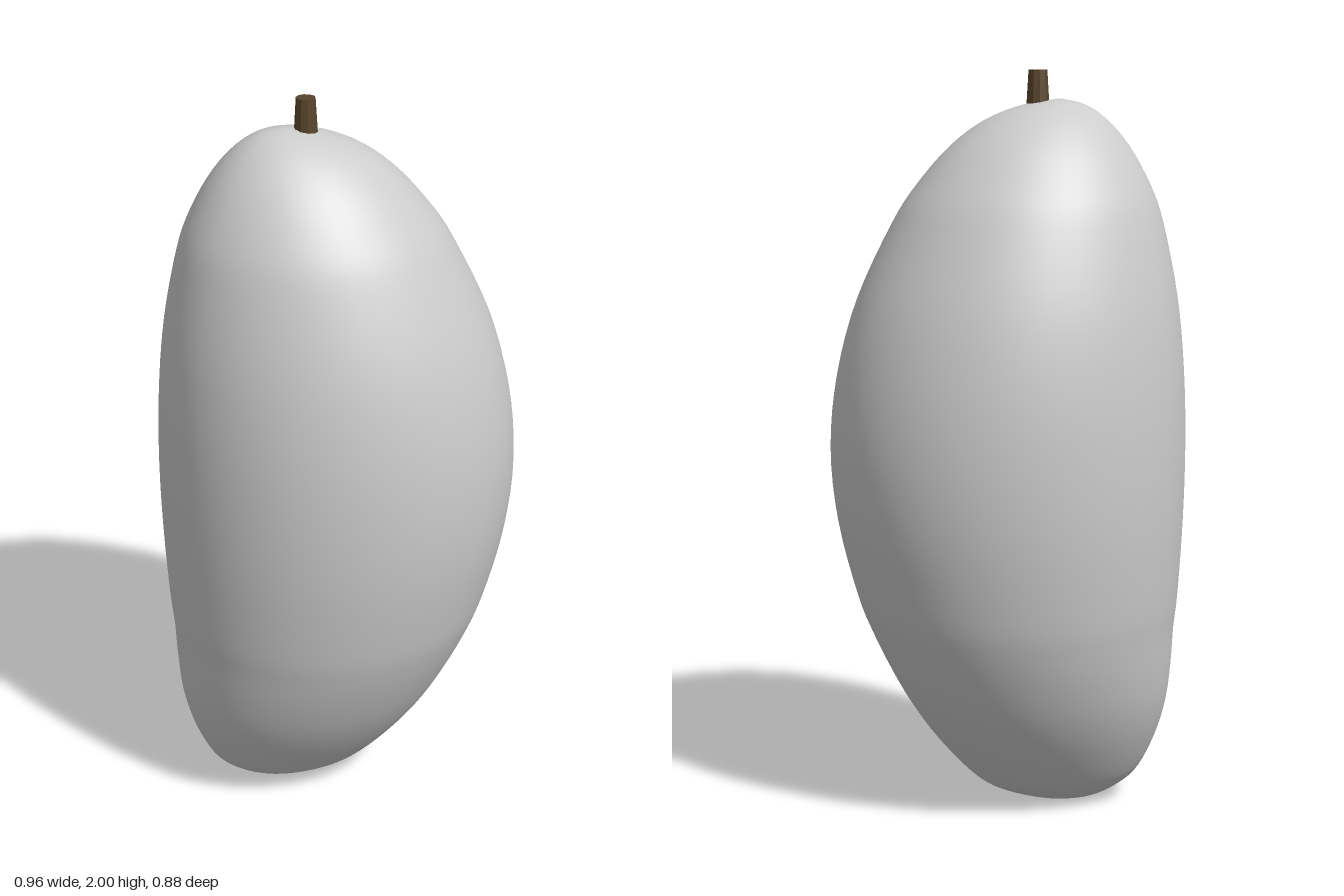
import * as THREE from 'three';
import { mergeVertices } from 'three/addons/utils/BufferGeometryUtils.js';

// Cross-sections from bottom to top: height, -x edge, +x edge, half depth
const SECTIONS = [
  [0.005, -0.17, -0.17, 0], [0.015, -0.25, -0.07, 0.055], [0.05, -0.32, 0.04, 0.11],
  [0.1, -0.37, 0.11, 0.16], [0.2, -0.415, 0.2, 0.235], [0.3, -0.44, 0.27, 0.295],
  [0.4, -0.45, 0.325, 0.34], [0.5, -0.455, 0.372, 0.375], [0.6, -0.465, 0.41, 0.4],
  [0.8, -0.476, 0.46, 0.43], [1.0, -0.48, 0.478, 0.44], [1.2, -0.474, 0.458, 0.43],
  [1.4, -0.455, 0.403, 0.395], [1.6, -0.415, 0.308, 0.33], [1.7, -0.38, 0.243, 0.28],
  [1.8, -0.325, 0.155, 0.208], [1.87, -0.265, 0.06, 0.135], [1.91, -0.205, -0.045, 0.065],
  [1.925, -0.14, -0.14, 0],
];

// Smooth fruit body: a sphere whose rings follow the cross-sections
function fruitGeometry() {
  const centres = new THREE.SplineCurve(
    SECTIONS.map(([y, l, r]) => new THREE.Vector2((l + r) / 2, y)));
  const radii = new THREE.SplineCurve(
    SECTIONS.map(([, l, r, d]) => new THREE.Vector2((r - l) / 2, d)));
  const geo = new THREE.SphereGeometry(1, 64, 72);
  const pos = geo.attributes.position;
  const cols = 65, rows = 72;
  for (let i = 0; i < pos.count; i++) {
    const t = 1 - Math.floor(i / cols) / rows;
    const a = ((i % cols) % 64) / 64 * Math.PI * 2;
    const c = centres.getPoint(t), r = radii.getPoint(t);
    pos.setXYZ(i, c.x - Math.cos(a) * r.x, c.y, Math.sin(a) * r.y);
  }
  geo.deleteAttribute('uv');
  geo.deleteAttribute('normal');
  const merged = mergeVertices(geo, 1e-4);
  merged.computeVertexNormals();
  return merged;
}

export function createModel() {
  const skin = new THREE.MeshStandardMaterial({ color: 0xcccccc });
  skin.name = 'pale grey skin';
  const bark = new THREE.MeshStandardMaterial({ color: 0x58442a, flatShading: true });
  bark.name = 'brown stem';

  const group = new THREE.Group();
  group.name = 'fruit';

  const body = new THREE.Mesh(fruitGeometry(), skin);
  body.name = 'fruitBody';
  group.add(body);

  // Short tapered stem sunk slightly into the top
  const stem = new THREE.Mesh(new THREE.CylinderGeometry(0.025, 0.031, 0.1, 10), bark);
  stem.name = 'stem';
  stem.position.set(-0.08, 1.95, 0);
  group.add(stem);

  return group;
}
